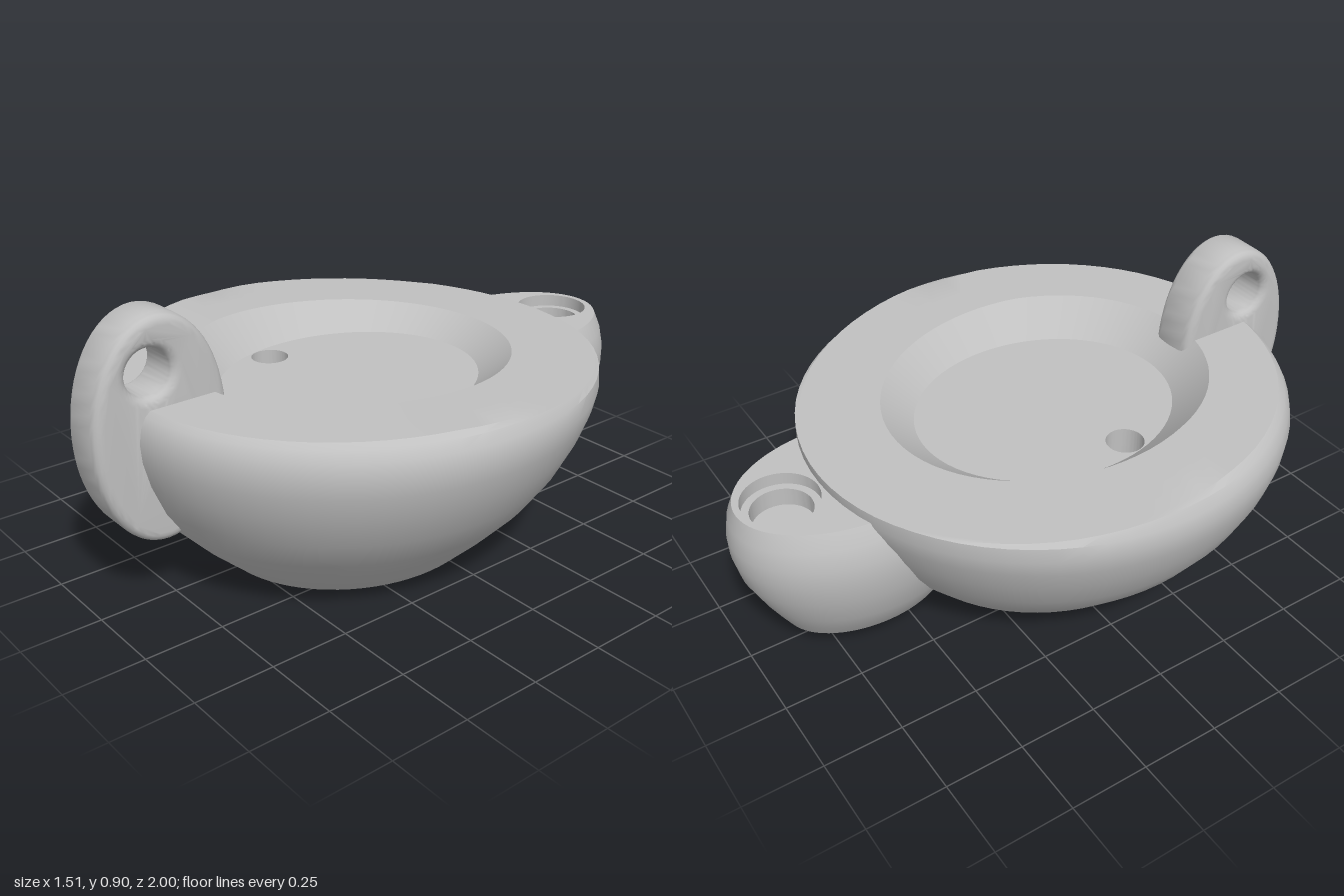
import * as THREE from 'three';
import { toCreasedNormals } from 'three/addons/utils/BufferGeometryUtils.js';

const SEG = 72;

// Skin a list of elliptical rings { x, y, z, rx, rz }; place() may adjust each point.
function loft(rings, place = (p) => p) {
  const pos = [], idx = [];
  for (const r of rings) {
    for (let j = 0; j < SEG; j++) {
      const t = (j / SEG) * Math.PI * 2;
      const p = new THREE.Vector3(r.x + r.rx * Math.sin(t), r.y, r.z + r.rz * Math.cos(t));
      place(p, r);
      pos.push(p.x, p.y, p.z);
    }
  }
  for (let i = 0; i < rings.length - 1; i++) {
    for (let j = 0; j < SEG; j++) {
      const k = (j + 1) % SEG;
      const a = i * SEG + j, b = i * SEG + k, c = a + SEG, d = b + SEG;
      if (rings[i].rx > 0) idx.push(a, b, d);
      if (rings[i + 1].rx > 0) idx.push(a, d, c);
    }
  }
  const g = new THREE.BufferGeometry();
  g.setAttribute('position', new THREE.Float32BufferAttribute(pos, 3));
  g.setIndex(idx);
  return toCreasedNormals(g, 0.5);
}

const ring = (y, rx, front, back) => ({ x: 0, y, z: (front + back) / 2, rx, rz: (front - back) / 2 });
const circle = (x, y, z, r) => ({ x, y, z, rx: r, rz: r });

export function createModel() {
  const group = new THREE.Group();
  const clay = new THREE.MeshStandardMaterial({ color: 0xc0c0c0 });
  clay.name = 'greyClay';
  const add = (name, geometry) => {
    const mesh = new THREE.Mesh(geometry, clay);
    mesh.name = name;
    group.add(mesh);
    return mesh;
  };

  // Bowl with a flat top, sunken oval pan and a small filling hole
  const bowl = [
    ring(0, 0, 0.09, 0.09),
    ring(0, 0.4, 0.53, -0.355),
    ring(0.1, 0.505, 0.64, -0.455),
    ring(0.2, 0.6, 0.735, -0.54),
    ring(0.3, 0.67, 0.8, -0.61),
    ring(0.4, 0.72, 0.842, -0.66),
    ring(0.48, 0.747, 0.863, -0.693),
    ring(0.54, 0.757, 0.868, -0.71),
    ring(0.585, 0.748, 0.86, -0.71),
    ring(0.615, 0.73, 0.845, -0.707),
    ring(0.63, 0.71, 0.828, -0.705),
    ring(0.63, 0.59, 0.725, -0.575),
    ring(0.63, 0.475, 0.62, -0.45),
    ring(0.52, 0.37, 0.51, -0.35),
    circle(-0.295, 0.52, 0.18, 0.06),
    circle(-0.295, 0.42, 0.18, 0.06),
    circle(-0.295, 0.42, 0.18, 0),
  ];
  // the top slopes gently down towards the spout
  add('bowl', loft(bowl, (p) => { p.y = Math.min(p.y, 0.58 + (p.z + 0.7) * 0.052); }));

  // Spout at the back with a stepped wick hole; its front is cut off inside the bowl
  const spoutProfile = [
    [0.08, 0, 0], [0.08, 0.17, 0.265], [0.14, 0.212, 0.3], [0.2, 0.243, 0.333],
    [0.3, 0.275, 0.38], [0.38, 0.286, 0.398], [0.44, 0.285, 0.4], [0.5, 0.27, 0.39], [0.55, 0.243, 0.372],
  ];
  const spout = spoutProfile.map(([y, rx, rz]) => ({ x: 0, y, z: -0.6, rx, rz }));
  for (const [y, r] of [[0.55, 0.118], [0.51, 0.118], [0.51, 0.094], [0.45, 0.094], [0.45, 0]]) {
    spout.push(circle(0, y, -0.835, r));
  }
  add('spout', loft(spout, (p) => { p.z = Math.min(p.z, -0.37 - p.y * 0.09); }));

  // Upright oval handle with a finger hole and rounded edges
  const bevel = 0.03;
  const shape = new THREE.Shape();
  shape.absellipse(0, 0, 0.215 - bevel, 0.345 - bevel, 0, Math.PI * 2);
  const hole = new THREE.Path();
  hole.absellipse(-0.032, 0.18, 0.07 + bevel, 0.07 + bevel, 0, Math.PI * 2, true);
  shape.holes.push(hole);
  const handleGeo = new THREE.ExtrudeGeometry(shape, {
    depth: 0.16 - 2 * bevel, bevelEnabled: true, bevelThickness: bevel, bevelSize: bevel,
    bevelSegments: 5, curveSegments: 32,
  });
  handleGeo.translate(0, 0, -(0.16 - 2 * bevel) / 2);
  handleGeo.rotateY(Math.PI / 2);
  handleGeo.deleteAttribute('uv');
  const handle = add('handle', toCreasedNormals(handleGeo, 0.6));
  handle.position.set(-0.02, 0.555, 0.785);

  return group;
}
